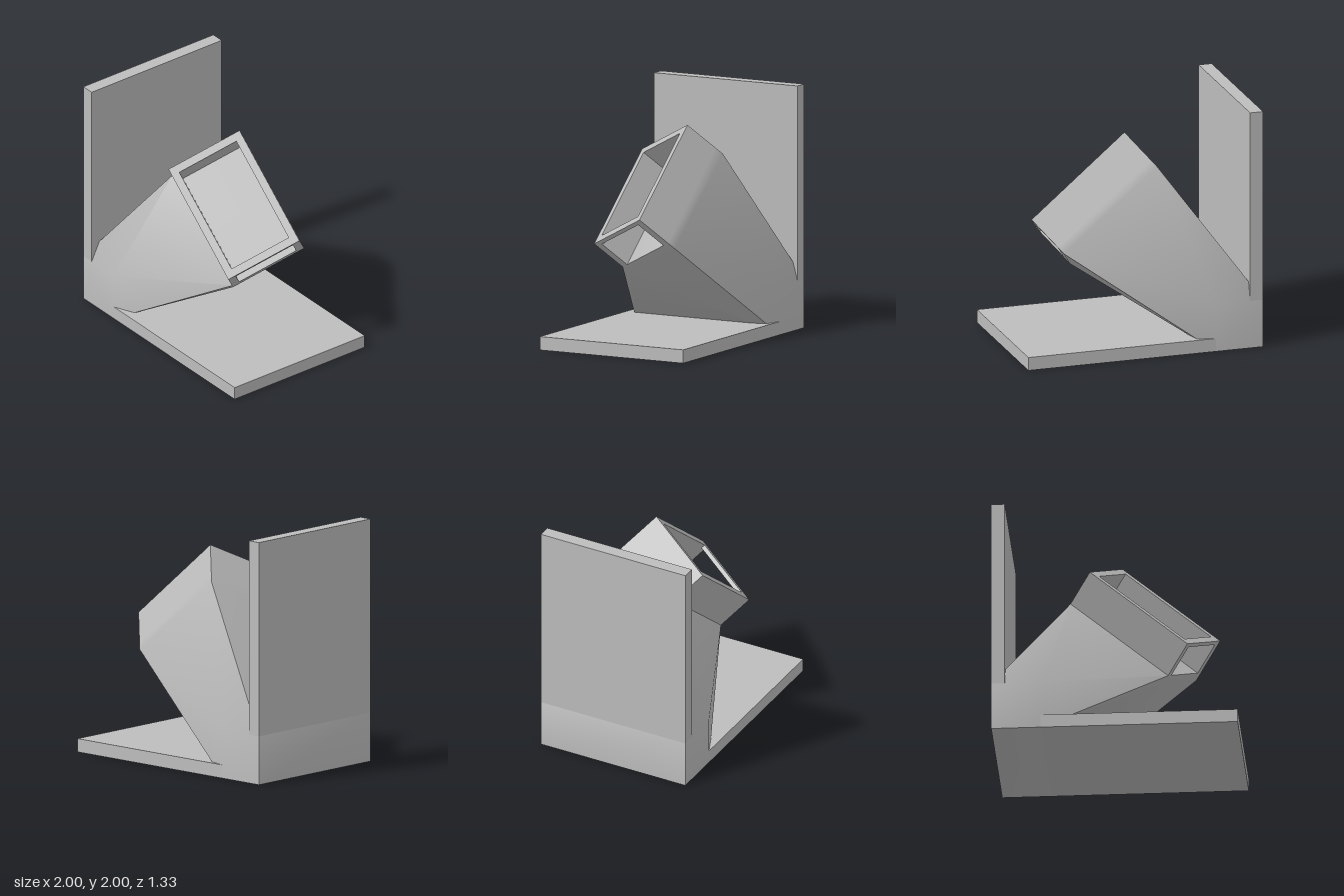
import * as THREE from 'three';
import { toCreasedNormals } from 'three/addons/utils/BufferGeometryUtils.js';
import { ConvexGeometry } from 'three/addons/geometries/ConvexGeometry.js';

export function createModel() {
  const model = new THREE.Group();
  model.name = 'angledBracket';
  const grey = new THREE.MeshStandardMaterial({ color: 0xbdbdbd });
  grey.name = 'plain grey';

  // Box given by its two extreme corners
  function box(name, parent, [x0, y0, z0], [x1, y1, z1]) {
    const mesh = new THREE.Mesh(new THREE.BoxGeometry(x1 - x0, y1 - y0, z1 - z0), grey);
    mesh.position.set((x0 + x1) / 2, (y0 + y1) / 2, (z0 + z1) / 2);
    mesh.name = name;
    parent.add(mesh);
    return mesh;
  }

  // All corners of a box, as points
  function corners([x0, y0, z0], [x1, y1, z1]) {
    const points = [];
    for (const x of [x0, x1]) for (const y of [y0, y1]) for (const z of [z0, z1]) {
      points.push(new THREE.Vector3(x, y, z));
    }
    return points;
  }

  const depth = 0.665, plate = 0.11, block = 0.4;

  // Base and back plates meet the solid corner block
  box('basePlate', model, [block - 1, 0, -depth], [1, plate, depth]);
  box('backPlate', model, [-1, block, -depth], [plate - 1, 2, depth]);

  // Tilted open tray; local y points out of its opening
  const tray = new THREE.Group();
  tray.name = 'tray';
  tray.position.set(0.293, 1.3, 0.125);
  tray.rotation.set(THREE.MathUtils.degToRad(33), 0, THREE.MathUtils.degToRad(-40), 'ZYX');
  tray.updateMatrix();
  model.add(tray);

  const w = 0.517, h = 0.328, wall = 0.065, floor = -0.312, bottom = -0.387;
  box('upperWall', tray, [-w, floor, -h], [w, 0, wall - h]);
  box('lowerWall', tray, [-w, floor, h - wall], [w, 0, h]);
  box('closedEndWall', tray, [-w, floor, wall - h], [wall - w, 0, h - wall]);
  // A thin bar leaves a slot open at this end
  box('slottedEndBar', tray, [w - wall, -0.035, wall - h], [w, 0, h - wall]);

  // Arm: hull from the corner block to the floor slab of the tray
  const slab = corners([-w, bottom, -h], [w, floor, h]).map((p) => p.applyMatrix4(tray.matrix));
  const hull = new ConvexGeometry([...corners([-1, 0, -depth], [block - 1, block, depth]), ...slab]);
  const arm = new THREE.Mesh(toCreasedNormals(hull, 0.61), grey);
  arm.name = 'supportArm';
  model.add(arm);

  return model;
}
